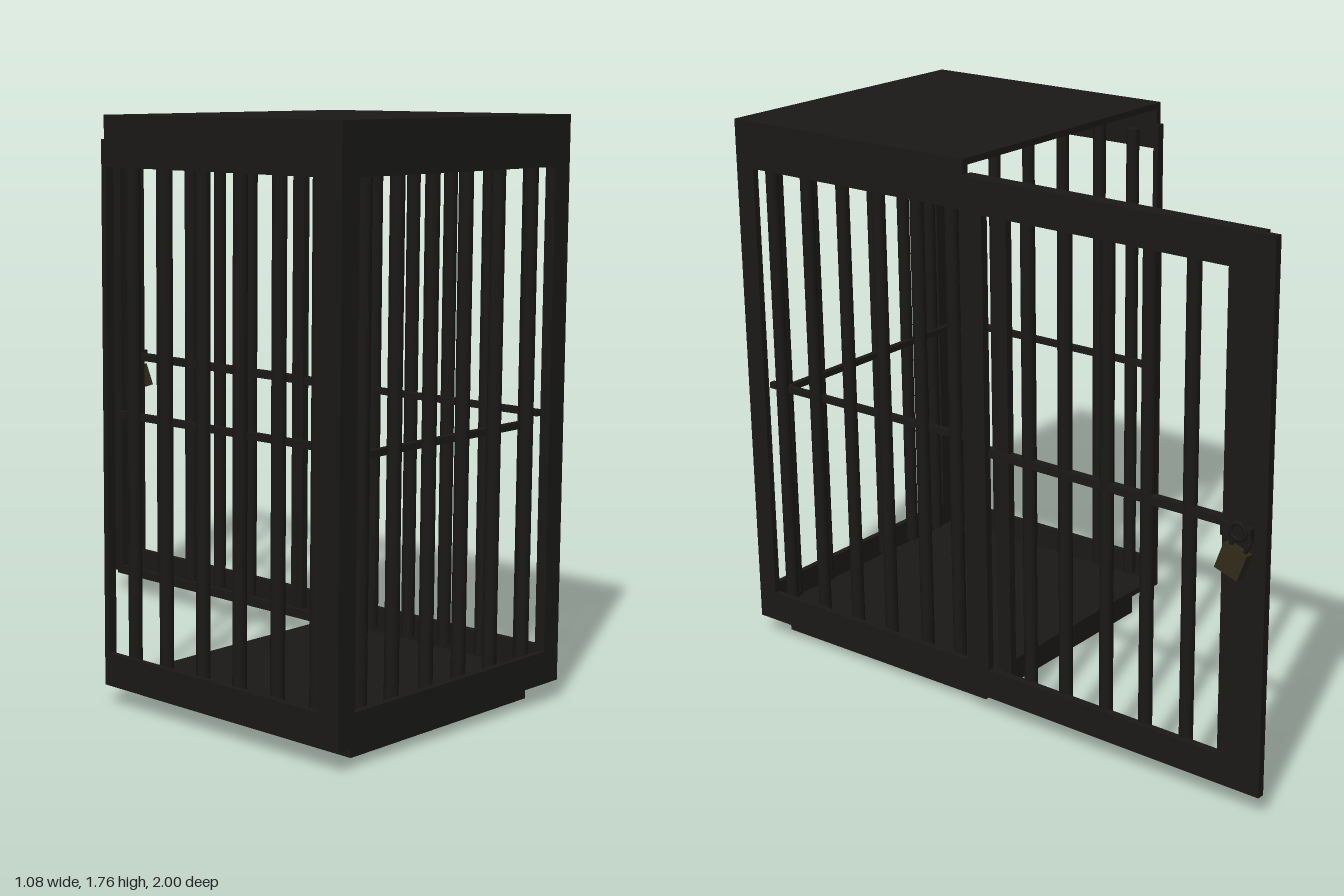
import * as THREE from 'three';

const iron = new THREE.MeshStandardMaterial({ color: 0x1a1917 });
const brass = new THREE.MeshStandardMaterial({ color: 0x2f2918 });

// Box given by its extents on each axis
function box(parent, name, [x0, x1], [y0, y1], [z0, z1], mat = iron) {
  const m = new THREE.Mesh(new THREE.BoxGeometry(x1 - x0, y1 - y0, z1 - z0), mat);
  m.position.set((x0 + x1) / 2, (y0 + y1) / 2, (z0 + z1) / 2);
  m.name = name;
  parent.add(m);
  return m;
}

// Upright round bar
function bar(parent, name, x, z, y0 = 0.1, y1 = 1.67, r = 0.021) {
  const m = new THREE.Mesh(new THREE.CylinderGeometry(r, r, y1 - y0, 10), iron);
  m.position.set(x, (y0 + y1) / 2, z);
  m.name = name;
  parent.add(m);
}

function group(parent, name) {
  const g = new THREE.Group();
  g.name = name;
  parent.add(g);
  return g;
}

const L = -0.54, R = 0.46, B = 0.08, F = 1.0, T = 0.02;
const BOTTOM = 0.06, SILL = 0.16, HEAD = 1.61, TOP = 1.76;

function buildCage(root) {
  const cage = group(root, 'cage');
  box(cage, 'roof', [L, R], [TOP - T, TOP], [B, F]);
  box(cage, 'floor', [L, R], [BOTTOM, BOTTOM + T], [B, F]);

  // Front wall
  const front = group(cage, 'frontWall');
  box(front, 'topBand', [L, R], [HEAD, TOP], [F - T, F]);
  box(front, 'bottomBand', [L, R], [BOTTOM, SILL], [F - T, F]);
  box(front, 'leftPost', [R - 0.07, R], [SILL, HEAD], [F - T, F]);
  box(front, 'rightPost', [L, L + 0.07], [SILL, HEAD], [F - T, F]);
  box(front, 'rail', [L + 0.03, 0.375], [0.842, 0.862], [F - 0.07, F - 0.05]);
  for (const x of [-0.405, -0.27, -0.12, 0.028, 0.175, 0.33]) bar(front, 'frontBar', x, F - 0.04);

  // Side walls, mirrored
  for (const [name, edge, s] of [['leftWall', R, -1], ['rightWall', L, 1]]) {
    const wall = group(cage, name);
    const span = (a, b) => [Math.min(edge + s * a, edge + s * b), Math.max(edge + s * a, edge + s * b)];
    box(wall, 'topBand', span(0, T), [HEAD, TOP], [B, F]);
    box(wall, 'bottomBand', span(0, T), [BOTTOM, SILL], [B, F]);
    box(wall, 'frontPost', span(0, T), [SILL, HEAD], [F - 0.07, F]);
    box(wall, 'backPost', span(0, 0.03), [BOTTOM, HEAD + 0.08], [B - 0.012, B + 0.006]);
    box(wall, 'rail', span(0.045, 0.065), [0.87, 0.89], [B, F - 0.05]);
    for (const z of [0.888, 0.74, 0.592, 0.446, 0.294, 0.16]) bar(wall, 'sideBar', edge + s * 0.04, z);
  }

  // Hollow plinth under the floor
  const plinth = group(root, 'plinth');
  const px = [-0.405, 0.395], pz = [B, 0.93], w = 0.06;
  for (const x of [px[0], px[1] - w]) box(plinth, 'plinthSide', [x, x + w], [0, BOTTOM], pz);
  for (const z of [pz[0], pz[1] - w]) box(plinth, 'plinthEnd', [px[0] + w, px[1] - w], [0, BOTTOM], [z, z + w]);
  box(plinth, 'plinthPanel', [px[0] + w, px[1] - w], [0.03, BOTTOM], [pz[0] + w, pz[1] - w]);
}

function buildDoor(root) {
  // Swung open about the hinge at the back left corner
  const door = group(root, 'door');
  door.position.set(0.45, 0, B);
  door.rotation.y = -0.02;
  const y0 = 0.065, y1 = 1.715, end = -1.08, px = [0, 0.025], fx = [-0.025, 0];
  box(door, 'topFrame', px, [HEAD, y1], [end, 0]);
  box(door, 'bottomFrame', px, [y0, SILL], [end, 0]);
  box(door, 'hingeStile', px, [SILL, HEAD], [-0.08, 0]);
  box(door, 'lockStile', px, [SILL, HEAD], [end, end + 0.145]);

  // Rim on the inner face
  const rim = end + 0.05;
  box(door, 'topRim', fx, [y1 - 0.03, y1], [rim, 0]);
  box(door, 'bottomRim', fx, [y0, y0 + 0.03], [rim, 0]);
  box(door, 'hingeRim', fx, [y0, y1], [-0.03, 0]);
  box(door, 'lockRim', fx, [y0, y1], [rim, rim + 0.025]);
  box(door, 'rail', [-0.02, 0.008], [0.86, 0.885], [end + 0.1, -0.02]);
  box(door, 'innerUpright', fx, [0.1, 1.67], [-0.15, -0.1]);
  for (const z of [-0.222, -0.358, -0.51, -0.655, -0.802]) bar(door, 'doorBar', -0.01, z);

  // Hinge knuckles
  for (const y of [0.35, 0.9, 1.45]) bar(door, 'hinge', -0.005, -0.01, y - 0.06, y + 0.06, 0.015);

  // Hasp and padlock
  const lock = group(door, 'padlock');
  lock.position.set(0.04, 0.79, -0.99);
  box(lock, 'hasp', [-0.02, 0.004], [0.06, 0.1], [-0.05, 0.05]);
  const staple = new THREE.Mesh(new THREE.TorusGeometry(0.025, 0.008, 6, 14), iron);
  staple.name = 'staple';
  staple.position.set(0.005, 0.085, -0.01);
  staple.rotation.y = Math.PI / 2;
  lock.add(staple);
  const hang = group(lock, 'hangingLock');
  hang.rotation.set(-0.3, 0, 0.12);
  box(hang, 'lockBody', [-0.008, 0.024], [-0.045, 0.035], [-0.04, 0.04], brass);
  const path = new THREE.CatmullRomCurve3([[0.03, -0.024], [0.07, -0.026], [0.095, 0], [0.07, 0.026], [0.03, 0.024]]
    .map(([y, z]) => new THREE.Vector3(0.008, y, z)));
  const shackle = new THREE.Mesh(new THREE.TubeGeometry(path, 16, 0.007, 6), iron);
  shackle.name = 'shackle';
  hang.add(shackle);
}

export function createModel() {
  const root = new THREE.Group();
  root.name = 'barredCage';
  buildCage(root);
  buildDoor(root);
  return root;
}
